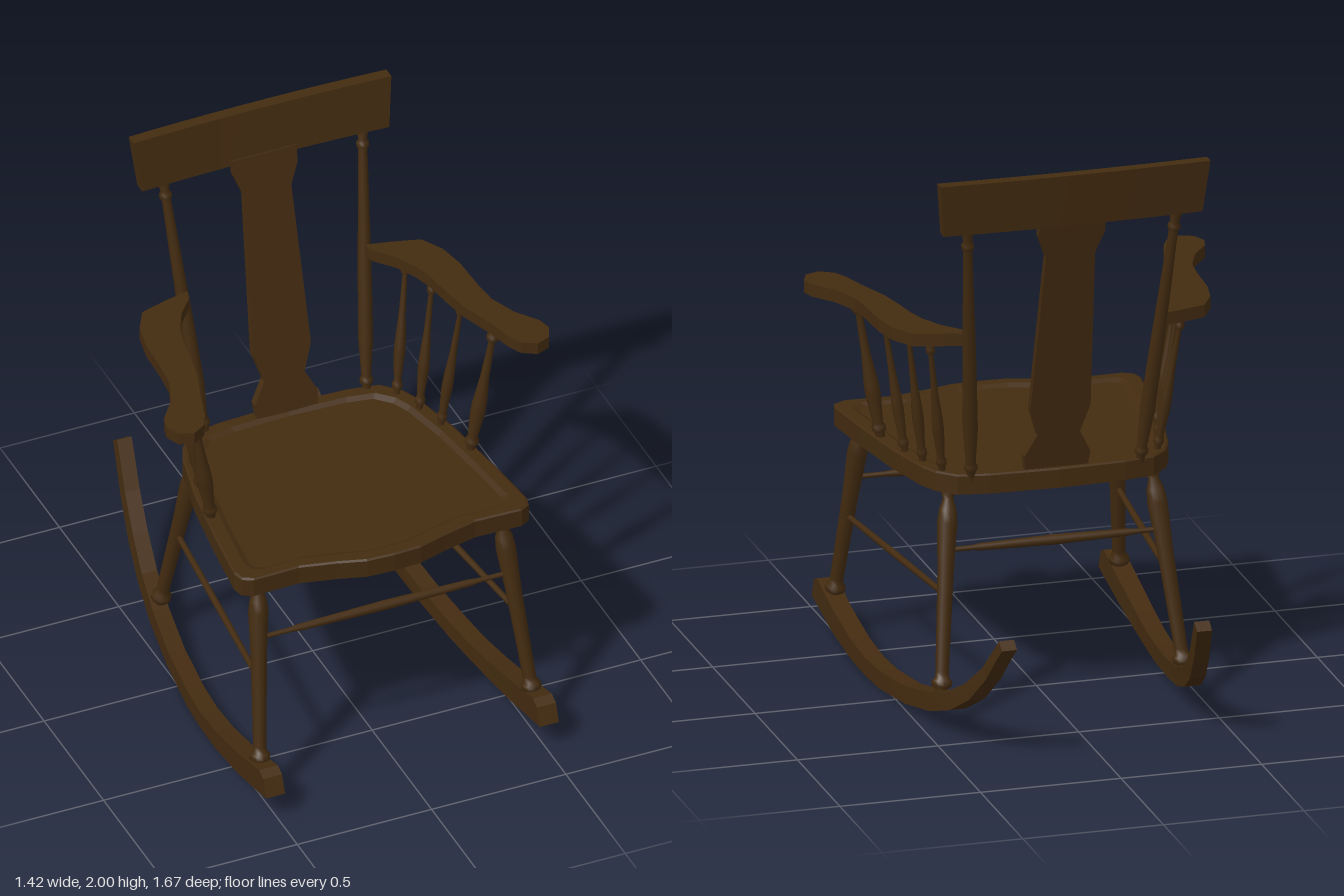
import * as THREE from 'three';

const wood = new THREE.MeshStandardMaterial({ color: 0x432b10 });
wood.name = 'dark walnut';

function add(group, name, geometry) {
  const mesh = new THREE.Mesh(geometry, wood);
  mesh.name = name;
  group.add(mesh);
  return mesh;
}

// Faceted skin over rings of points, closed at both ends.
// Rings run counter-clockwise about the direction of travel.
function loft(rings) {
  const out = [];
  const tri = (...pts) => pts.forEach(p => out.push(...p));
  const centre = ring => [0, 1, 2].map(k => ring.reduce((s, p) => s + p[k], 0) / ring.length);
  const n = rings[0].length;
  const first = rings[0], last = rings[rings.length - 1];
  for (let i = 0; i < n; i++) {
    const j = (i + 1) % n;
    for (let r = 0; r + 1 < rings.length; r++) {
      const a = rings[r], b = rings[r + 1];
      tri(a[i], a[j], b[j]);
      tri(a[i], b[j], b[i]);
    }
    tri(centre(first), first[j], first[i]);
    tri(centre(last), last[i], last[j]);
  }
  const g = new THREE.BufferGeometry();
  g.setAttribute('position', new THREE.Float32BufferAttribute(out, 3));
  g.computeVertexNormals();
  return g;
}

// Lathe-turned stick between two points; profile is [fraction, radius].
function turned(group, name, from, to, profile) {
  const a = new THREE.Vector3(...from), b = new THREE.Vector3(...to);
  const dir = b.clone().sub(a), len = dir.length();
  const pts = profile.map(([t, r]) => new THREE.Vector2(r, t * len));
  const mesh = add(group, name, new THREE.LatheGeometry(pts, 10));
  mesh.position.copy(a);
  mesh.quaternion.setFromUnitVectors(new THREE.Vector3(0, 1, 0), dir.normalize());
}

const legProfile = [[0, 0.02], [0.06, 0.02], [0.075, 0.035], [0.1, 0.035], [0.115, 0.024], [0.14, 0.023],
  [0.6, 0.028], [0.82, 0.035], [0.88, 0.03], [0.93, 0.018], [0.95, 0.023], [1, 0.023]];
const postProfile = [[0, 0.015], [0.03, 0.015], [0.04, 0.023], [0.055, 0.023], [0.065, 0.017], [0.2, 0.026],
  [0.45, 0.024], [0.9, 0.016], [0.91, 0.022], [0.925, 0.022], [0.935, 0.015], [0.96, 0.02], [1, 0.018]];
const spindleProfile = [[0, 0.6], [0.06, 0.6], [0.08, 0.9], [0.11, 0.9], [0.13, 0.65], [0.32, 1], [0.4, 0.95],
  [0.6, 0.6], [0.87, 0.42], [0.89, 0.8], [0.92, 0.8], [0.94, 0.45], [1, 0.45]];
const stretcherProfile = [[0, 0.009], [0.12, 0.009], [0.16, 0.013], [0.5, 0.018], [0.84, 0.013], [0.88, 0.009], [1, 0.009]];

// Seat: thick board with bowed front and a shallow dished top
function seat(group) {
  const half = [[0, 0.69], [0.1, 0.685], [0.2, 0.655], [0.33, 0.625], [0.5, 0.63], [0.535, 0.61], [0.545, 0.57],
    [0.52, 0.35], [0.485, 0.1], [0.44, -0.1], [0.41, -0.17], [0.35, -0.23], [0.24, -0.25], [0, -0.26]];
  const outline = [...half, ...half.slice(1, -1).reverse().map(([x, z]) => [-x, z])];
  const ring = (y, k) => outline.map(([x, z]) => [x * k, y, 0.2 + (z - 0.2) * k]);
  add(group, 'seat', loft([ring(0.8, 1), ring(0.865, 1), ring(0.87, 0.985), ring(0.87, 0.9), ring(0.86, 0.86)]));
}

// Rocker: curved runner that bends inward toward the back
function rocker(group, s) {
  // each station: bottom z, bottom y, top z, top y
  const stations = [
    [0.84, 0.1, 0.815, 0.165], [0.78, 0.085, 0.78, 0.18], [0.6, 0.045, 0.6, 0.13], [0.4, 0.015, 0.4, 0.087],
    [0.25, 0.003, 0.25, 0.067], [0.12, 0, 0.12, 0.065], [-0.1, 0.018, -0.09, 0.08], [-0.3, 0.055, -0.28, 0.12],
    [-0.46, 0.11, -0.43, 0.168], [-0.6, 0.19, -0.56, 0.238], [-0.72, 0.3, -0.68, 0.33], [-0.8, 0.4, -0.76, 0.42],
    [-0.835, 0.44, -0.8, 0.465]];
  add(group, 'rocker', loft(stations.map(([zb, yb, zt, yt]) => {
    const x = s * (0.51 - 0.083 * Math.pow(Math.max(0, 0.6 - zb), 1.87));
    const w = 0.031 + 0.005 * zb;
    return [[x + w, yt, zt], [x + w, yb, zb], [x - w, yb, zb], [x - w, yt, zt]];
  })));
}

// Armrest: flat board that flares into a rounded hand grip
function armrest(group, s) {
  const pts = [[0.33, -0.31], [0.42, -0.29], [0.52, -0.26], [0.565, -0.18], [0.585, -0.08], [0.59, 0.05],
    [0.6, 0.15], [0.64, 0.25], [0.7, 0.33], [0.712, 0.38], [0.69, 0.43], [0.64, 0.45], [0.59, 0.42], [0.565, 0.37],
    [0.54, 0.28], [0.495, 0.15], [0.475, 0.05], [0.46, -0.05], [0.44, -0.12], [0.4, -0.2], [0.34, -0.27]];
  const shape = new THREE.Shape(pts.map(([x, z]) => new THREE.Vector2(s * x, z)));
  const g = new THREE.ExtrudeGeometry(shape, { depth: 0.045, bevelEnabled: false });
  g.rotateX(Math.PI / 2).translate(0, 1.408, 0);
  add(group, 'armrest', g);
}

// Back splat: vase-shaped board leaning back
function splat(group) {
  const half = [[0.11, 0.85], [0.117, 0.92], [0.075, 1.0], [0.107, 1.1], [0.087, 1.69], [0.118, 1.77], [0.118, 1.83]];
  const outline = [...half, ...half.slice().reverse().map(([x, y]) => [-x, y])];
  const shape = new THREE.Shape(outline.map(p => new THREE.Vector2(...p)));
  const g = new THREE.ExtrudeGeometry(shape, { depth: 0.03, bevelEnabled: false });
  const p = g.attributes.position;
  for (let i = 0; i < p.count; i++) p.setZ(i, p.getZ(i) - 0.24 - (p.getY(i) - 0.87) * 0.202);
  g.computeVertexNormals();
  add(group, 'backSplat', g);
}

// Crest rail: wide board, gently bowed, wider at the top
function crest(group) {
  const g = new THREE.BoxGeometry(1, 0.19, 0.042, 10, 1, 1);
  const p = g.attributes.position;
  for (let i = 0; i < p.count; i++) {
    const u = p.getX(i) * 2, t = p.getY(i) / 0.19 + 0.5;
    p.setXYZ(i, u * (0.46 + 0.02 * t), 1.81 + 0.19 * t, p.getZ(i) - 0.415 - 0.028 * t - 0.012 * (1 - u * u));
  }
  g.computeVertexNormals();
  add(group, 'crestRail', g);
}

export function createModel() {
  const chair = new THREE.Group();
  chair.name = 'rockingChair';
  seat(chair);
  splat(chair);
  crest(chair);

  // arm spindles: bottom x, bottom z, top x, top z, radius
  const spindles = [[0.48, 0.235, 0.565, 0.258, 0.027], [0.445, 0.065, 0.525, 0.075, 0.02],
    [0.415, -0.045, 0.485, -0.085, 0.02], [0.38, -0.155, 0.45, -0.23, 0.02]];

  for (const s of [1, -1]) {
    rocker(chair, s);
    armrest(chair, s);
    turned(chair, 'frontLeg', [s * 0.51, 0.11, 0.71], [s * 0.45, 0.82, 0.555], legProfile);
    turned(chair, 'rearLeg', [s * 0.435, 0.09, -0.32], [s * 0.36, 0.82, -0.16], legProfile);
    turned(chair, 'backPost', [s * 0.3, 0.85, -0.225], [s * 0.373, 1.84, -0.425], postProfile);
    turned(chair, 'sideStretcher', [s * 0.482, 0.45, 0.635], [s * 0.398, 0.45, -0.24],
      [[0, 0.01], [0.5, 0.012], [1, 0.01]]);
    for (const [bx, bz, tx, tz, r] of spindles) {
      turned(chair, 'armSpindle', [s * bx, 0.85, bz], [s * tx, 1.38, tz], spindleProfile.map(([t, k]) => [t, k * r]));
    }
  }

  // cross stretchers
  turned(chair, 'frontStretcher', [-0.465, 0.597, 0.604], [0.465, 0.597, 0.604], stretcherProfile);
  turned(chair, 'rearStretcher', [-0.383, 0.597, -0.209], [0.383, 0.597, -0.209], stretcherProfile);
  return chair;
}
